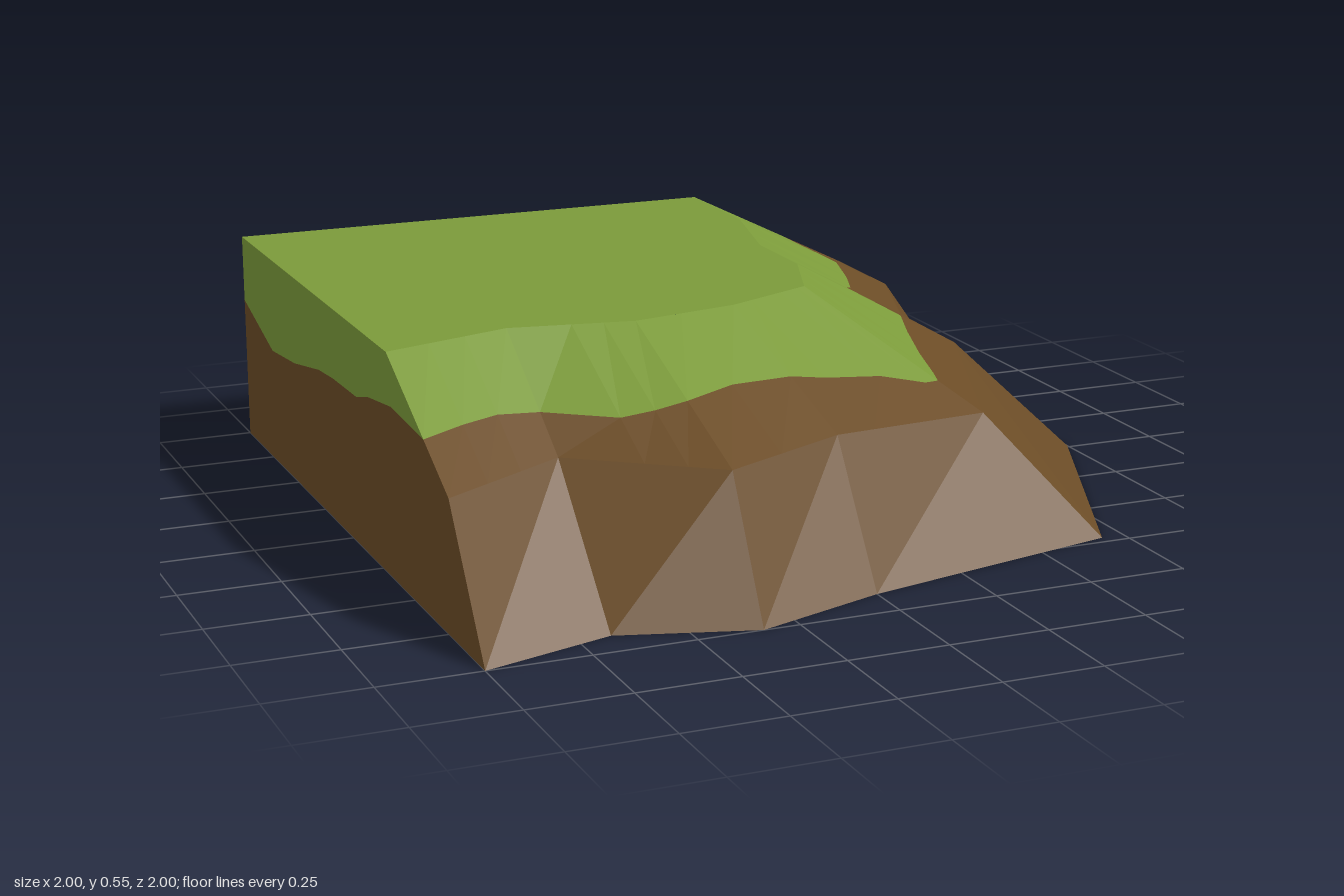
import * as THREE from 'three';

const TOP = 0.55;

// Cliff corners from the front-left end round to the back-right end: [x, z]
const BASE = [[-1, 1], [-0.67, 0.9], [-0.34, 1], [0, 0.88], [0.69, 0.72], [1, -0.01], [0.885, -0.34], [1, -0.67], [1, -1]];
const SHOULDER = [[-1, 0.77], [-0.67, 0.57], [-0.34, 0.82], [0, 0.655], [0.48, 0.48], [0.65, -0.01], [0.655, -0.34], [0.77, -0.67], [0.77, -1]];
const RIM = [[-1, 0.32], [-0.67, 0.22], [-0.36, 0.275], [-0.08, 0.22], [0.16, 0.11], [0.245, -0.12], [0.245, -0.36], [0.32, -0.67], [0.32, -1]];

// Ragged grass edge: [position along the corners, fraction from shoulder to rim]
const GRASS = [[0, 0.39], [0.35, 0.41], [0.65, 0.41], [1, 0.343], [1.5, 0.32], [1.75, 0.38], [2, 0.45], [2.46, 0.48], [3, 0.44],
  [3.25, 0.39], [3.65, 0.34], [3.9, 0.25], [4, 0.25], [4.1, 0.26], [4.35, 0.31], [4.7, 0.34], [5, 0.345], [5.5, 0.35],
  [5.9, 0.39], [6, 0.39], [6.1, 0.35], [6.5, 0.33], [7, 0.345], [7.4, 0.36], [7.55, 0.39], [8, 0.4]];

// Grass edge on the two flat cut sides: [along, y]
const BACK_EDGE = [[0.59, 0.415], [0.36, 0.395], [0.13, 0.335], [-0.21, 0.34], [-0.41, 0.36], [-0.57, 0.365], [-0.8, 0.33], [-1, 0.375]];
const LEFT_EDGE = [[0.595, 0.413], [0.35, 0.425], [0.16, 0.4], [0.06, 0.375], [-0.14, 0.37], [-0.27, 0.36], [-0.5, 0.32], [-0.72, 0.3], [-1, 0.375]];

export function createModel() {
  const grass = new THREE.MeshStandardMaterial({ color: 0x7b9a3a });
  const earth = new THREE.MeshStandardMaterial({ color: 0x6b4c26 });
  const group = new THREE.Group();

  const add = (name, geometry, material) => {
    const mesh = new THREE.Mesh(geometry, material);
    mesh.name = name;
    group.add(mesh);
  };

  // Faceted band between two lines with equal point counts
  const band = (low, high) => {
    const pts = [];
    for (let i = 0; i < low.length - 1; i++) {
      pts.push(low[i], low[i + 1], high[i + 1], low[i], high[i + 1], high[i]);
    }
    const g = new THREE.BufferGeometry().setFromPoints(pts);
    g.computeVertexNormals();
    return g;
  };

  const flat = (points) => new THREE.ShapeGeometry(new THREE.Shape(points.map(([a, b]) => new THREE.Vector2(a, b))));
  const backWall = (points) => flat(points.map(([x, y]) => [-x, y])).rotateY(Math.PI).translate(0, 0, -1);
  const leftWall = (points) => flat(points).rotateY(-Math.PI / 2).translate(-1, 0, 0);

  const line = (corners, height) => corners.map(([x, z], i) => new THREE.Vector3(x, height(i), z));
  const base = line(BASE, () => 0);
  const shoulder = line(SHOULDER, (i) => (i === 4 ? 0.28 : 0.325));
  const rim = line(RIM, () => TOP);

  // Point on a line at a fractional corner position
  const at = (pts, s) => {
    const i = Math.min(Math.floor(s), pts.length - 2);
    return pts[i].clone().lerp(pts[i + 1], s - i);
  };
  const lower = GRASS.map(([s]) => at(shoulder, s));
  const upper = GRASS.map(([s]) => at(rim, s));
  const edge = GRASS.map(([, t], i) => lower[i].clone().lerp(upper[i], t));

  // Sloping cliff
  add('cliffFoot', band(base, shoulder), earth);
  add('cliffShoulder', band(lower, edge), earth);
  add('grassSlope', band(edge, upper), grass);

  // Level top and underside
  add('grassTop', flat([[-1, 1], ...RIM.map(([x, z]) => [x, -z])]).rotateX(-Math.PI / 2).translate(0, TOP, 0), grass);
  add('underside', flat([[-1, -1], ...BASE]).rotateX(Math.PI / 2), earth);

  // Flat cut sides
  add('backEarth', backWall([[-1, 0], [1, 0], [0.77, 0.325], ...BACK_EDGE]), earth);
  add('backGrass', backWall([[-1, TOP], [0.32, TOP], ...BACK_EDGE]), grass);
  add('sideEarth', leftWall([[-1, 0], [1, 0], [0.77, 0.325], ...LEFT_EDGE]), earth);
  add('sideGrass', leftWall([[-1, TOP], [0.32, TOP], ...LEFT_EDGE]), grass);

  return group;
}
